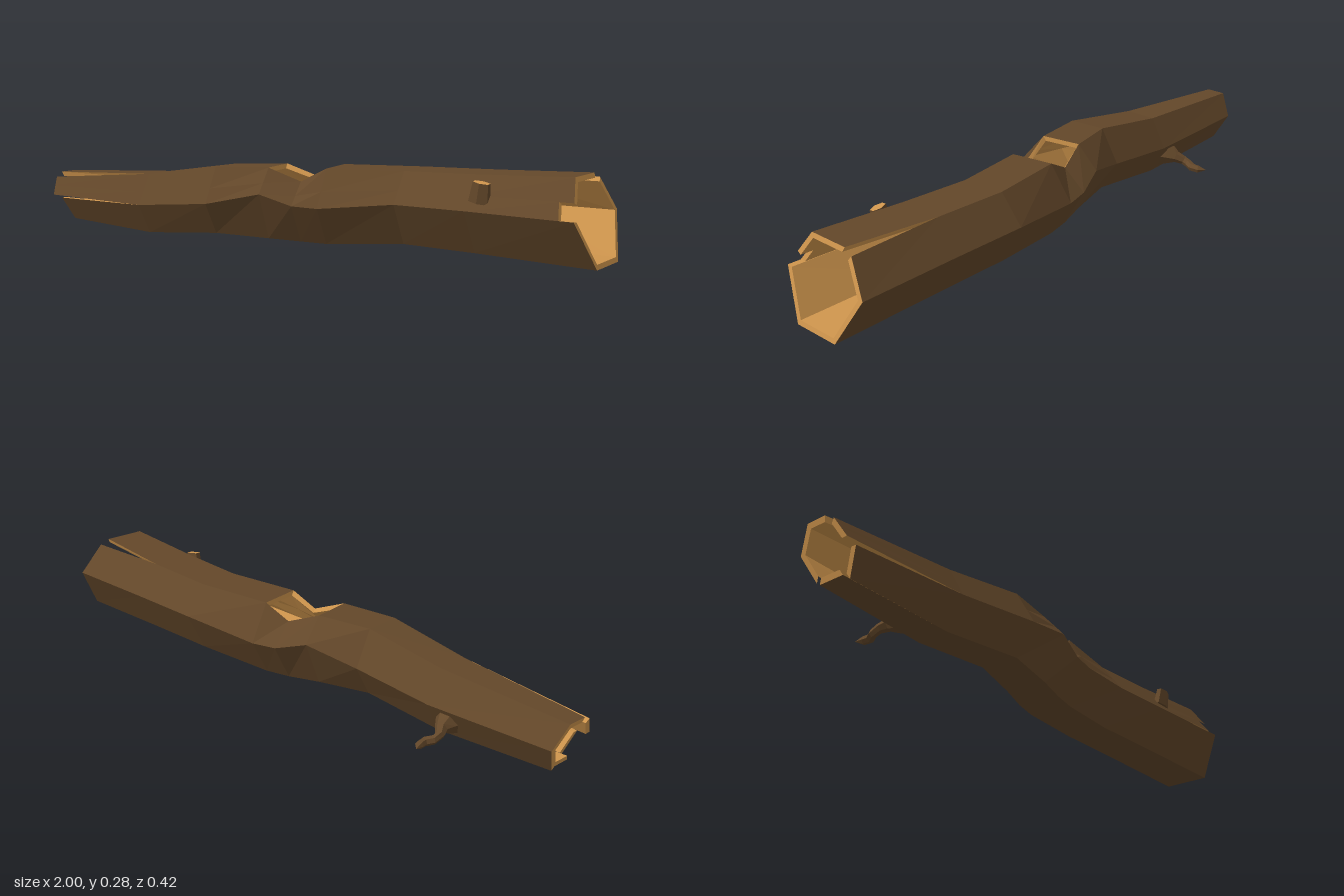
import * as THREE from 'three';

const bark = new THREE.MeshStandardMaterial({ color: 0x64482a, flatShading: true });
const wood = new THREE.MeshStandardMaterial({ color: 0xd0964d, flatShading: true });
const WALL = 0.018;

// Rings along the trunk: x, bottom y, middle y, top y, centre z, radius, yaw, pitch
const rings = [
  [-0.977, 0.015, 0.1, 0.175, 0.087, 0.088, 0, -0.3],
  [-0.55, 0, 0.1, 0.2, 0.085, 0.11, 0, 0],
  [-0.26, 0.027, 0.13, 0.243, 0.085, 0.124, 0.1, 0],
  [-0.08, 0.022, 0.172, 0.25, 0.042, 0.134, 0.17, 0],
  [0.025, 0.018, 0.14, 0.21, 0.01, 0.14, 0.17, 0],
  [0.11, 0.016, 0.137, 0.255, -0.008, 0.142, 0.17, 0],
  [0.37, 0.035, 0.165, 0.26, -0.055, 0.143, 0.08, 0],
  [0.62, 0.033, 0.167, 0.267, -0.054, 0.149, 0, 0],
  [0.963, 0.026, 0.167, 0.281, -0.05, 0.16, 0, -0.28],
];
const LAST = rings.length - 1;

// Corner k of a hexagonal ring, starting at the front and going over the top
function corner(i, k, inset) {
  const [x, yb, ym, yt, cz, r, yaw, pitch] = rings[i];
  const s = 1 - inset / r;
  const dz = [1, 0.5, -0.5, -1, -0.5, 0.5][k % 6] * r * s;
  const y = [ym, yt, yt, ym, yb, yb][k % 6];
  const cy = (yb + yt) / 2;
  const yy = cy + (y - cy) * s;
  return new THREE.Vector3(x + yaw * dz + pitch * (yy - ym), yy, cz + dz);
}

function meshFrom(quads, material, name) {
  const pos = [];
  for (const [a, b, c, d] of quads) for (const p of [a, b, c, a, c, d]) pos.push(p.x, p.y, p.z);
  const geo = new THREE.BufferGeometry();
  geo.setAttribute('position', new THREE.Float32BufferAttribute(pos, 3));
  geo.computeVertexNormals();
  const mesh = new THREE.Mesh(geo, material);
  mesh.name = name;
  return mesh;
}

// One thick plank of the trunk wall; lo and hi give its edges at the left end, middle and right end
function panel({ name, k, lo = [0, 0, 0], hi = [1, 1, 1], from = 0, to = LAST, cutL = 0, cutR = 0, openLo, openHi }) {
  const pick = (a, i) => (i === 0 ? a[0] : i === LAST ? a[2] : a[1]);
  const section = (i) => {
    const point = (u, inset) => {
      const p = corner(i, k, inset).lerp(corner(i, k + 1, inset), u);
      if (i === 0) p.x += cutL;
      if (i === LAST) p.x -= cutR;
      return p;
    };
    const u = pick(lo, i), v = pick(hi, i);
    return [point(u, 0), point(v, 0), point(v, WALL), point(u, WALL)];
  };
  const outer = [], inner = [];
  for (let i = from; i < to; i++) {
    const [a, b, c, d] = section(i), [a2, b2, c2, d2] = section(i + 1);
    outer.push([a, a2, b2, b]);
    inner.push([d, c, c2, d2]);
    if (openLo) inner.push([a, d, d2, a2]);
    if (openHi) inner.push([b, b2, c2, c]);
  }
  const [a, b, c, d] = section(from), [a2, b2, c2, d2] = section(to);
  inner.push([a, b, c, d], [a2, d2, c2, b2]);
  const group = new THREE.Group();
  group.name = name;
  group.add(meshFrom(outer, bark, name + 'Bark'), meshFrom(inner, wood, name + 'Wood'));
  return group;
}

// Tapering twig: a tube whose rows are scaled to the given radii
function twig(points, radii, name) {
  const curve = new THREE.CatmullRomCurve3(points.map((p) => new THREE.Vector3(...p)));
  const rows = radii.length - 1;
  const geo = new THREE.TubeGeometry(curve, rows, 1, 6);
  const pos = geo.attributes.position, v = new THREE.Vector3();
  for (let n = 0; n < pos.count; n++) {
    const row = Math.floor(n / 7), centre = curve.getPointAt(row / rows);
    v.fromBufferAttribute(pos, n).sub(centre).multiplyScalar(radii[row]).add(centre);
    pos.setXYZ(n, v.x, v.y, v.z);
  }
  const flat = geo.toNonIndexed();
  flat.computeVertexNormals();
  const mesh = new THREE.Mesh(flat, bark);
  mesh.name = name;
  return mesh;
}

export function createModel() {
  const log = new THREE.Group();
  log.name = 'hollowLog';

  // Trunk walls, with a split at each end and a gap in the top
  const panels = [
    { name: 'frontUpperLow', k: 0, hi: [0.42, 0.42, 0.42], cutR: 0.045, openLo: true },
    { name: 'frontUpperHigh', k: 0, lo: [0.42, 0.42, 0.42], hi: [0.8, 1, 1], openHi: true },
    { name: 'topLeft', k: 1, lo: [0.24, 0, 0], to: 3, openLo: true },
    { name: 'topRight', k: 1, hi: [1, 1, 0.87], from: 5, openHi: true },
    { name: 'backUpper', k: 2, lo: [0, 0, 0.13], openLo: true },
    { name: 'backLower', k: 3 },
    { name: 'bottom', k: 4, cutL: 0.01 },
    { name: 'frontLower', k: 5, hi: [0.9, 1, 1], cutL: 0.035, openHi: true },
  ];
  for (const p of panels) log.add(panel(p));

  // Crooked twig at the back
  log.add(twig(
    [[-0.605, 0.06, 0.02], [-0.615, 0.05, -0.035], [-0.632, 0.036, -0.065], [-0.612, 0.03, -0.11], [-0.627, 0.03, -0.155]],
    [0.05, 0.036, 0.02, 0.015, 0.014, 0.014, 0.013, 0.0], 'backTwig'));

  // Sawn-off stub on the upper front
  const stub = new THREE.Mesh(new THREE.CylinderGeometry(0.028, 0.036, 0.06, 6), [bark, wood, bark]);
  stub.name = 'branchStub';
  stub.scale.z = 0.6;
  stub.position.set(0.662, 0.222, 0.072);
  stub.rotation.set(0.1, 0, -0.15);
  log.add(stub);
  return log;
}
